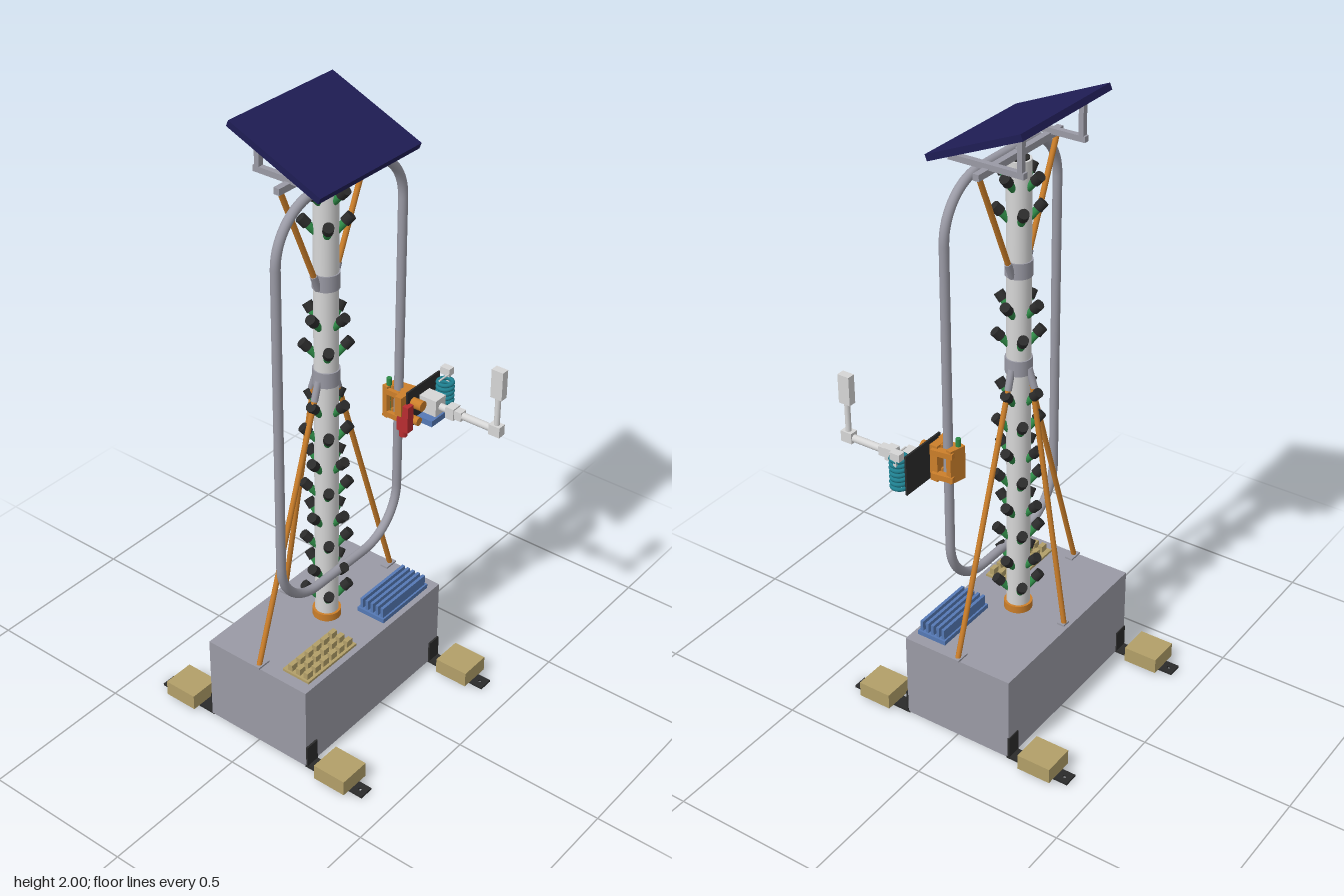
import * as THREE from 'three';

const mat = (name, color, side = THREE.FrontSide) => {
  const m = new THREE.MeshStandardMaterial({ color, side });
  m.name = name;
  return m;
};

export function createModel() {
  const root = new THREE.Group();
  root.name = 'growingTower';
  const grey = mat('metalGrey', 0x9a9aa5);
  const white = mat('lightGrey', 0xd6d6d6);
  const navy = mat('navy', 0x1f1d55);
  const orange = mat('orange', 0xcc7f2a);
  const black = mat('black', 0x2b2b2b);
  const tan = mat('tan', 0xb29f68, THREE.DoubleSide);
  const blue = mat('blue', 0x5579b5);
  const green = mat('green', 0x2f8c48);
  const teal = mat('teal', 0x1f8090);
  const red = mat('red', 0xb92d30);
  const TX = -0.037; // tower axis

  const add = (name, geo, m, x = 0, y = 0, z = 0, parent = root) => {
    const mesh = new THREE.Mesh(geo, m);
    mesh.name = name;
    mesh.position.set(x, y, z);
    parent.add(mesh);
    return mesh;
  };
  // box given by its limits
  const box = (name, m, x0, x1, y0, y1, z0, z1, parent) =>
    add(name, new THREE.BoxGeometry(x1 - x0, y1 - y0, z1 - z0), m,
      (x0 + x1) / 2, (y0 + y1) / 2, (z0 + z1) / 2, parent);
  const cyl = (name, m, r, y0, y1, x, z, parent, r2 = r) =>
    add(name, new THREE.CylinderGeometry(r2, r, y1 - y0, 24), m, x, (y0 + y1) / 2, z, parent);
  // round rod between two points
  const rod = (name, m, r, a, b, parent = root) => {
    const p = new THREE.Vector3(...a), q = new THREE.Vector3(...b);
    const d = q.clone().sub(p);
    const mesh = add(name, new THREE.CylinderGeometry(r, r, d.length(), 14), m, 0, 0, 0, parent);
    mesh.position.copy(p).add(q).multiplyScalar(0.5);
    mesh.quaternion.setFromUnitVectors(new THREE.Vector3(0, 1, 0), d.normalize());
    return mesh;
  };

  // base cabinet
  box('baseCabinet', grey, -0.374, 0.298, 0.003, 0.295, -0.193, 0.191);

  // outriggers: slotted bracket with an open-bottomed ballast block
  for (const x of [-0.35, 0.275]) for (const s of [1, -1]) {
    const g = new THREE.Group();
    g.name = 'outrigger';
    g.position.set(x, 0, 0);
    if (s < 0) g.rotation.y = Math.PI;
    root.add(g);
    const shape = new THREE.Shape();
    shape.moveTo(-0.024, -0.405);
    shape.lineTo(0.024, -0.405);
    shape.lineTo(0.024, -0.185);
    shape.lineTo(-0.024, -0.185);
    const hole = new THREE.Path();
    hole.absarc(0, -0.382, 0.006, 0, Math.PI * 2, true);
    shape.holes.push(hole);
    const plate = new THREE.ExtrudeGeometry(shape, { depth: 0.007, bevelEnabled: false });
    plate.rotateX(-Math.PI / 2);
    add('bracketFoot', plate, black, 0, 0, 0, g);
    box('bracketUpright', black, -0.024, 0.024, 0, 0.08, 0.19, 0.197, g);
    box('ballastTop', tan, -0.053, 0.053, 0.054, 0.06, 0.245, 0.36, g);
    for (const e of [-1, 1]) {
      box('ballastSide', tan, e * 0.051 - 0.002, e * 0.051 + 0.002, 0.008, 0.054, 0.245, 0.36, g);
      const z = 0.3025 + e * 0.0555;
      box('ballastEnd', tan, -0.049, 0.049, 0.008, 0.054, z - 0.002, z + 0.002, g);
    }
  }

  // terminal tray
  box('terminalTray', tan, -0.335, -0.105, 0.295, 0.303, 0.07, 0.171);
  for (let i = 0; i < 6; i++) for (let j = 0; j < 3; j++) {
    const x = -0.316 + i * 0.038, z = 0.094 + j * 0.03;
    box('terminal', tan, x - 0.0125, x + 0.0125, 0.303, 0.325, z - 0.008, z + 0.008);
  }
  // finned heat sink
  box('heatSinkBase', blue, 0.03, 0.26, 0.295, 0.31, 0.07, 0.172);
  for (let i = 0; i < 5; i++) {
    const z = 0.081 + i * 0.02;
    box('heatSinkFin', blue, 0.036, 0.254, 0.31, 0.345, z - 0.005, z + 0.005);
  }

  // tower column and collars
  cyl('column', white, 0.037, 0.295, 1.82, TX, 0);
  cyl('columnFlange', orange, 0.045, 0.295, 0.32, TX, 0);
  cyl('columnCap', black, 0.03, 1.815, 1.824, TX, 0);
  cyl('columnPin', grey, 0.01, 1.82, 1.85, TX, 0);
  for (const y of [1.15, 1.465]) cyl('collar', grey, 0.041, y, y + 0.05, TX, 0);

  // plant pods: four per level, turned by 45 degrees on every second level
  [1.77, 1.67, 1.375, 1.275, 1.085, 0.985, 0.885, 0.79, 0.69, 0.595, 0.495, 0.4].forEach((y, i) => {
    for (let k = 0; k < 4; k++) {
      const g = new THREE.Group();
      g.name = 'plantPod';
      g.position.set(TX, y, 0);
      g.rotation.y = (k + (i % 2) / 2) * Math.PI / 2;
      root.add(g);
      rod('podTube', green, 0.012, [0.022, -0.04, 0], [0.06, 0.002, 0], g);
      rod('podCup', black, 0.016, [0.052, -0.007, 0], [0.071, 0.014, 0], g);
    }
  });

  // struts, foot plates and gussets
  const lower = [[-0.362, 0], [0.288, 0], [TX, -0.172]];
  for (const [x, z] of lower) {
    const dx = Math.sign(Math.round((x - TX) * 100)), dz = Math.sign(z);
    rod('lowerStrut', orange, 0.0085, [x, 0.298, z], [TX + dx * 0.045, 1.14, dz * 0.045]);
    rod('strutSocket', grey, 0.011, [TX + dx * 0.055, 1.11, dz * 0.055], [TX + dx * 0.036, 1.17, dz * 0.036]);
    const px = x + dx * -0.008, pz = z + dz * -0.004;
    box('footPlate', grey, px - 0.024 + Math.abs(dz) * 0.01, px + 0.024 - Math.abs(dz) * 0.01,
      0.295, 0.301, pz - 0.013, pz + 0.013);
  }
  for (const s of [-1, 1]) {
    rod('upperStrut', orange, 0.0085, [TX + s * 0.19, 1.83, 0], [TX + s * 0.042, 1.49, 0]);
    rod('upperSocket', grey, 0.011, [TX + s * 0.055, 1.52, 0], [TX + s * 0.034, 1.47, 0]);
  }

  // rounded guide rail loop
  const [L, R, B, T, cr] = [-0.316, 0.241, 0.499, 1.818, 0.165];
  const path = new THREE.CurvePath();
  const line = (a, b) => path.add(new THREE.LineCurve3(new THREE.Vector3(...a), new THREE.Vector3(...b)));
  const bend = (a, b, c) => path.add(new THREE.CubicBezierCurve3(
    new THREE.Vector3(...a, 0),
    new THREE.Vector3(a[0] + (b[0] - a[0]) * 0.552, a[1] + (b[1] - a[1]) * 0.552, 0),
    new THREE.Vector3(c[0] + (b[0] - c[0]) * 0.552, c[1] + (b[1] - c[1]) * 0.552, 0),
    new THREE.Vector3(...c, 0)));
  line([L + cr, B, 0], [R - cr, B, 0]);
  bend([R - cr, B], [R, B], [R, B + cr]);
  line([R, B + cr, 0], [R, T - cr, 0]);
  bend([R, T - cr], [R, T], [R - cr, T]);
  line([R - cr, T, 0], [L + cr, T, 0]);
  bend([L + cr, T], [L, T], [L, T - cr]);
  line([L, T - cr, 0], [L, B + cr, 0]);
  bend([L, B + cr], [L, B], [L + cr, B]);
  add('guideRail', new THREE.TubeGeometry(path, 200, 0.0145, 16, true), grey, 0, 0, 0.055);

  // solar panel and its frame
  const panel = add('solarPanel', new THREE.BoxGeometry(0.434, 0.02, 0.336), navy, TX, 1.925, 0);
  panel.rotation.x = 0.4;
  box('panelCrossbar', grey, TX - 0.205, TX + 0.205, 1.826, 1.846, -0.01, 0.01);
  for (const s of [-1, 1]) {
    const x = TX + s * 0.15;
    box('panelRail', grey, x - 0.009, x + 0.009, 1.842, 1.86, -0.122, 0.126);
    box('panelPost', grey, x - 0.009, x + 0.009, 1.858, 1.962, -0.116, -0.1);
  }

  // carriage riding on the guide rail
  const car = new THREE.Group();
  car.name = 'carriage';
  root.add(car);
  const rear = box('rearClamp', orange, 0.215, 0.27, 0.91, 1.02, 0.018, 0.038, car);
  rear.rotation.y = -0.25;
  box('frontClamp', orange, 0.215, 0.27, 0.9, 1.02, 0.074, 0.1, car);
  for (const y of [0.915, 0.995]) {
    const arm = box('clampArm', orange, 0.255, 0.278, y, y + 0.018, 0.02, 0.09, car);
    arm.rotation.y = 0.15;
    box('clampInnerArm', orange, 0.212, 0.226, y, y + 0.018, 0.03, 0.09, car);
    for (const z of [0.033, 0.078])
      cyl('clampRoller', orange, 0.013, y - 0.006, y + 0.024, 0.241, z, car);
  }
  cyl('greenPin', green, 0.008, 0.93, 1.045, 0.23, 0.027, car);
  rod('driveMotor', orange, 0.017, [0.24, 0.985, 0.085], [0.24, 0.985, 0.148], car);
  rod('lowerMotor', orange, 0.014, [0.24, 0.925, 0.085], [0.24, 0.925, 0.135], car);
  box('motorMount', orange, 0.188, 0.222, 0.955, 1.02, 0.08, 0.104, car);
  box('redActuator', red, 0.195, 0.223, 0.9, 0.99, 0.084, 0.125, car);
  cyl('redKnob', red, 0.013, 0.878, 0.905, 0.208, 0.1, car);
  box('backPlate', black, 0.212, 0.376, 0.9, 1.03, 0.104, 0.11, car);
  box('blueTray', blue, 0.264, 0.332, 0.905, 0.925, 0.11, 0.165, car);

  // coiled hose
  for (let i = 0; i < 7; i++) {
    const ring = add('hoseCoil', new THREE.TorusGeometry(0.0235, 0.0065, 8, 24), teal, 0.363, 0.916 + i * 0.0155, 0.14, car);
    ring.rotation.x = Math.PI / 2;
  }
  rod('hoseRod', white, 0.003, [0.33, 1.028, 0.14], [0.392, 1.028, 0.14], car);
  box('hoseHook', white, 0.376, 0.4, 1.022, 1.046, 0.11, 0.144, car);
  box('hoseHookStem', white, 0.383, 0.391, 0.995, 1.024, 0.128, 0.14, car);

  // probe arm reaching forward, then up
  box('armMount', white, 0.272, 0.322, 0.94, 0.995, 0.11, 0.172, car);
  rod('armTube', white, 0.012, [0.298, 0.965, 0.165], [0.298, 0.965, 0.38], car);
  box('armJoint', white, 0.281, 0.316, 0.945, 0.985, 0.2, 0.23, car);
  box('armSleeve', white, 0.285, 0.312, 0.95, 0.98, 0.23, 0.255, car);
  box('armElbow', white, 0.284, 0.312, 0.95, 0.985, 0.355, 0.394, car);
  rod('armUpright', white, 0.009, [0.298, 0.97, 0.375], [0.298, 1.09, 0.375], car);
  box('probeHead', white, 0.285, 0.311, 1.08, 1.175, 0.355, 0.395, car);
  return root;
}
